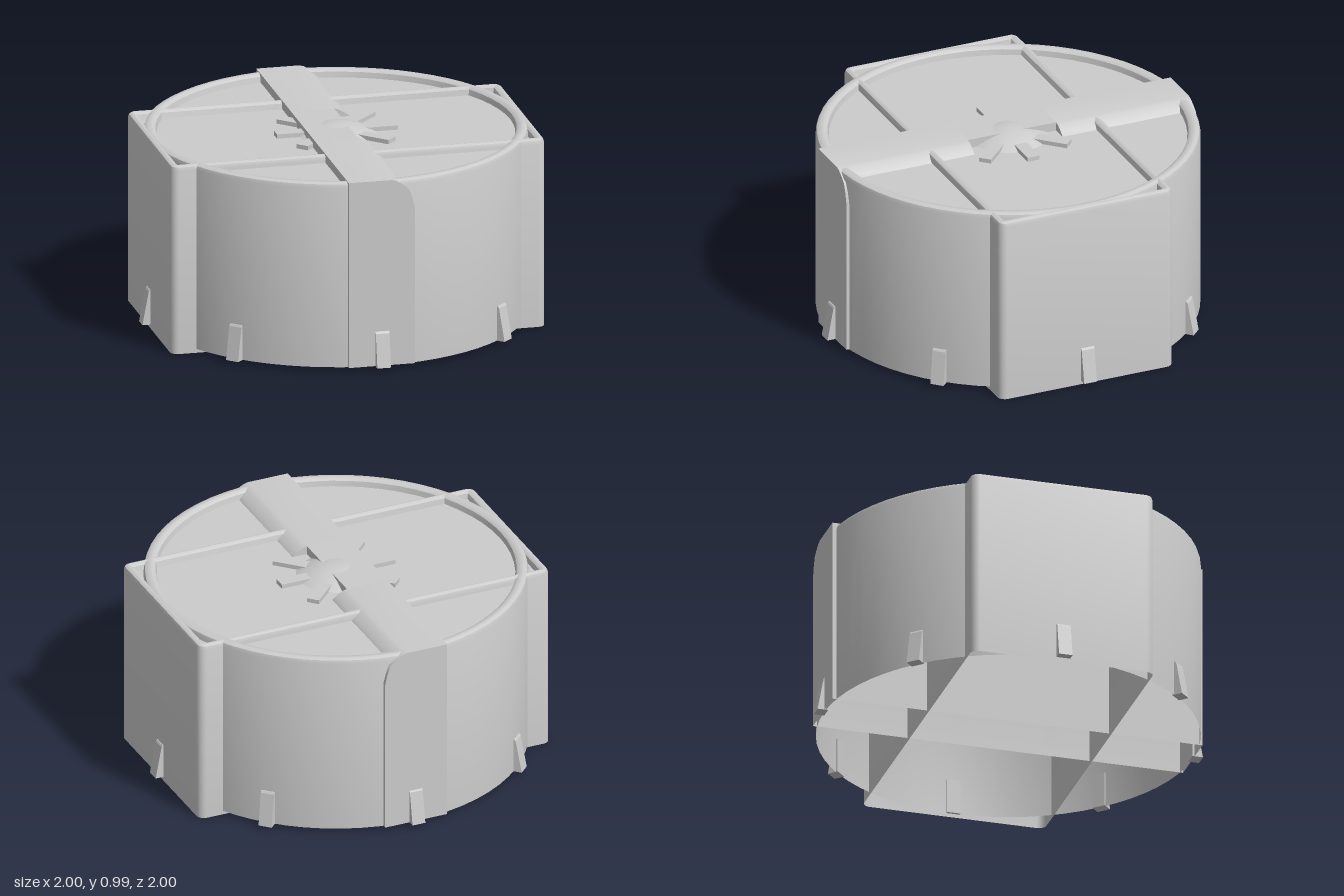
import * as THREE from 'three';
import { toCreasedNormals } from 'three/addons/utils/BufferGeometryUtils.js';

const material = new THREE.MeshStandardMaterial({ color: 0xcccccc, side: THREE.DoubleSide });

function addMesh(parent, name, geometry) {
  const mesh = new THREE.Mesh(geometry, material);
  mesh.name = name;
  parent.add(mesh);
  return mesh;
}

// Skin between rows of points; every row has the same number of points.
function loft(rows, crease = 0.65) {
  const n = rows[0].length;
  const index = [];
  for (let i = 0; i < rows.length - 1; i++) {
    for (let j = 0; j < n - 1; j++) {
      const a = i * n + j, b = a + 1, c = a + n, d = c + 1;
      index.push(a, b, d, a, d, c);
    }
  }
  const g = new THREE.BufferGeometry();
  g.setAttribute('position', new THREE.Float32BufferAttribute(rows.flat(2), 3));
  g.setIndex(index);
  return toCreasedNormals(g.toNonIndexed(), crease);
}

// Open-bottomed shell: wall, rounded rim and recessed top panel.
// outline(inset) returns a closed loop of [x, z].
const PANEL = 0.94;
function shell(outline, bottom, rim) {
  const profile = [
    [0, bottom], [0, 0.955], [0.006, 0.972], [0.02, 0.98],
    [rim - 0.022, 0.98], [rim - 0.006, 0.968], [rim, PANEL],
  ];
  const rows = profile.map(([inset, y]) => outline(inset).map(([x, z]) => [x, y, z]));
  rows.push(rows[0].map(() => [0, PANEL, 0]));
  return loft(rows);
}

function circle(inset) {
  const r = 0.957 - inset, points = [];
  for (let i = 0; i <= 64; i++) {
    const a = (i / 64) * Math.PI * 2;
    points.push([r * Math.cos(a), -r * Math.sin(a)]);
  }
  return points;
}

function roundedRectangle(inset) {
  const r = Math.max(0.04 - inset, 0.004);
  const cx = 0.958 - inset - r, cz = 0.473 - inset - r;
  const points = [];
  for (let corner = 0; corner < 4; corner++) {
    const sx = corner === 0 || corner === 3 ? 1 : -1;
    const sz = corner < 2 ? -1 : 1;
    for (let i = 0; i <= 5; i++) {
      const a = (corner + i / 5) * Math.PI / 2;
      points.push([sx * cx + r * Math.cos(a), sz * cz - r * Math.sin(a)]);
    }
  }
  points.push(points[0]);
  return points;
}

// Flat face of [x, y] points standing at z.
function plate(points, z, flip) {
  const g = new THREE.ShapeGeometry(new THREE.Shape(points.map(p => new THREE.Vector2(...p))));
  if (flip) g.rotateY(Math.PI).scale(1, 1, 1);
  return g.translate(0, 0, z);
}

function createBand() {
  const band = new THREE.Group();
  band.name = 'centreBand';
  const top = 0.985, bottom = 0.02, front = 0.957, back = -0.963, notch = 0.24;
  const left = [[-0.17, bottom], [-0.17, top], [0.05, top]];
  const shoulder = [[0.075, 0.978], [0.11, 0.956], [0.138, 0.932], [0.155, 0.885], [0.168, 0.83]];
  const full = [...left, ...shoulder, [0.168, bottom]];
  const notched = [...left, [0.05, PANEL], [0.13, PANEL], ...shoulder.slice(2), [0.168, bottom]];
  const section = (name, profile, z0, z1) =>
    addMesh(band, name, loft([z0, z1].map(z => profile.map(([x, y]) => [x, y, z]))));
  section('bandFront', full, front, notch);
  section('bandMiddle', notched, notch, -notch);
  section('bandBack', full, -notch, back);

  // End faces and the cheeks of the notch around the star
  const cheek = [[0.05, top], [0.05, PANEL], [0.13, PANEL], [0.11, 0.956], [0.075, 0.978]];
  addMesh(band, 'bandFrontFace', plate(full, front));
  const mirrored = full.map(([x, y]) => [-x, y]);
  addMesh(band, 'bandBackFace', plate(mirrored, back, true));
  for (const z of [-notch, notch]) addMesh(band, 'notchCheek', plate(cheek, z));
  return band;
}

function createStar() {
  const star = new THREE.Group();
  star.name = 'star';
  // Shallow domed hub
  const dome = [];
  for (let i = 0; i <= 8; i++) {
    const r = 0.21 * (1 - i / 8);
    dome.push(new THREE.Vector2(r, 0.992 - 1.3 * r * r));
  }
  addMesh(star, 'hub', new THREE.LatheGeometry(dome, 32));
  // Eight flat spokes
  for (let i = 0; i < 8; i++) {
    const length = i % 2 ? 0.325 : 0.31;
    const spoke = addMesh(star, 'spoke',
      new THREE.BoxGeometry(length, 0.03, 0.065).translate(length / 2, 0.947, 0));
    spoke.rotation.y = i * Math.PI / 4;
  }
  return star;
}

function createClips() {
  const clips = new THREE.Group();
  clips.name = 'clips';
  const side = new THREE.Shape([[0.945, 0.02], [1, 0.02], [0.968, 0.19], [0.962, 0.2], [0.945, 0.2]]
    .map(p => new THREE.Vector2(...p)));
  const g = new THREE.ExtrudeGeometry(side, { depth: 0.07, bevelEnabled: false }).translate(0, 0, -0.035);
  for (let i = 0; i < 8; i++) {
    addMesh(clips, 'clip', g).rotation.y = i * Math.PI / 4;
  }
  return clips;
}

export function createModel() {
  const model = new THREE.Group();
  model.name = 'drumHousing';
  addMesh(model, 'roundShell', shell(circle, 0.02, 0.065));
  addMesh(model, 'crossBox', shell(roundedRectangle, 0, 0.048));
  model.add(createBand(), createStar(), createClips());
  return model;
}
